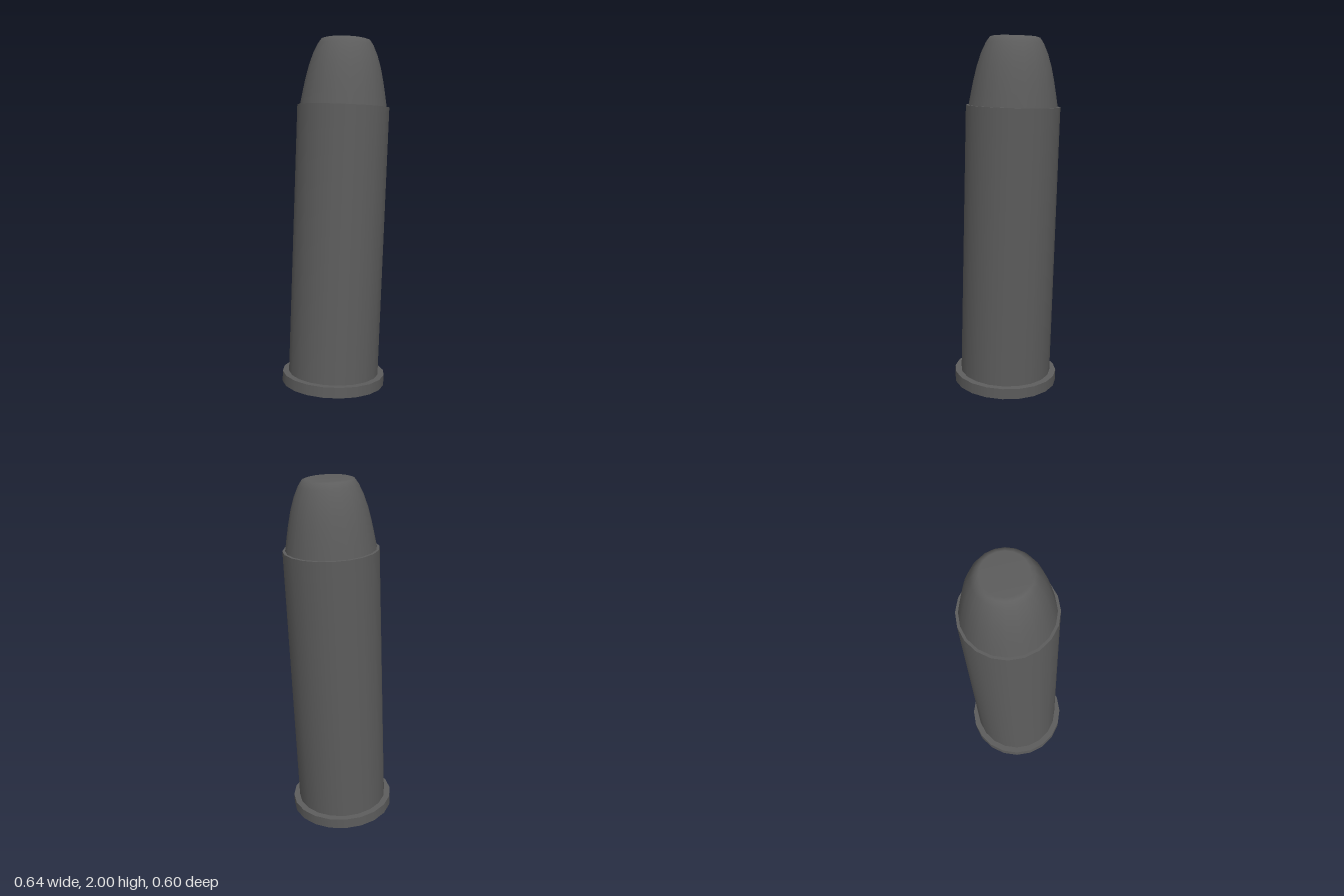
import * as THREE from 'three';

const SIDES = 20;
const TILT = 0.051;
const material = new THREE.MeshStandardMaterial({ color: 0x5d5d5d });

// Revolves a smooth [radius, height] profile, listed from the bottom up
function turned(name, profile) {
  const points = profile.map(([r, y]) => new THREE.Vector2(r, y));
  const mesh = new THREE.Mesh(new THREE.LatheGeometry(points, SIDES), material);
  mesh.name = name;
  return mesh;
}

// Revolves each profile segment on its own, so the corners between them stay sharp
function turnedSharp(name, profile) {
  const part = new THREE.Group();
  part.name = name;
  for (let i = 1; i < profile.length; i++) {
    part.add(turned(`${name}Surface${i}`, [profile[i - 1], profile[i]]));
  }
  return part;
}

export function createModel() {
  const cartridge = new THREE.Group();
  cartridge.name = 'cartridge';

  // Rim with the recessed primer pocket underneath
  cartridge.add(turnedSharp('rim', [
    [0, 0.06], [0.153, 0.06], [0.153, 0], [0.298, 0], [0.298, 0.06], [0.262, 0.06],
  ]));

  // Straight case wall with a narrow lip at the mouth
  cartridge.add(turnedSharp('case', [[0.262, 0.06], [0.262, 1.605], [0.247, 1.605]]));

  // Tapering bullet whose shoulder rounds softly into the flat nose
  cartridge.add(turned('bullet', [
    [0.247, 1.605], [0.236, 1.67], [0.223, 1.74], [0.205, 1.82], [0.183, 1.89],
    [0.158, 1.945], [0.138, 1.974], [0.118, 1.98], [0, 1.98],
  ]));

  // The whole piece leans slightly towards +x, resting on the rim edge
  cartridge.rotation.z = -TILT;
  cartridge.position.set(-0.023, 0.298 * Math.sin(TILT), 0);

  const root = new THREE.Group();
  root.add(cartridge);
  return root;
}
